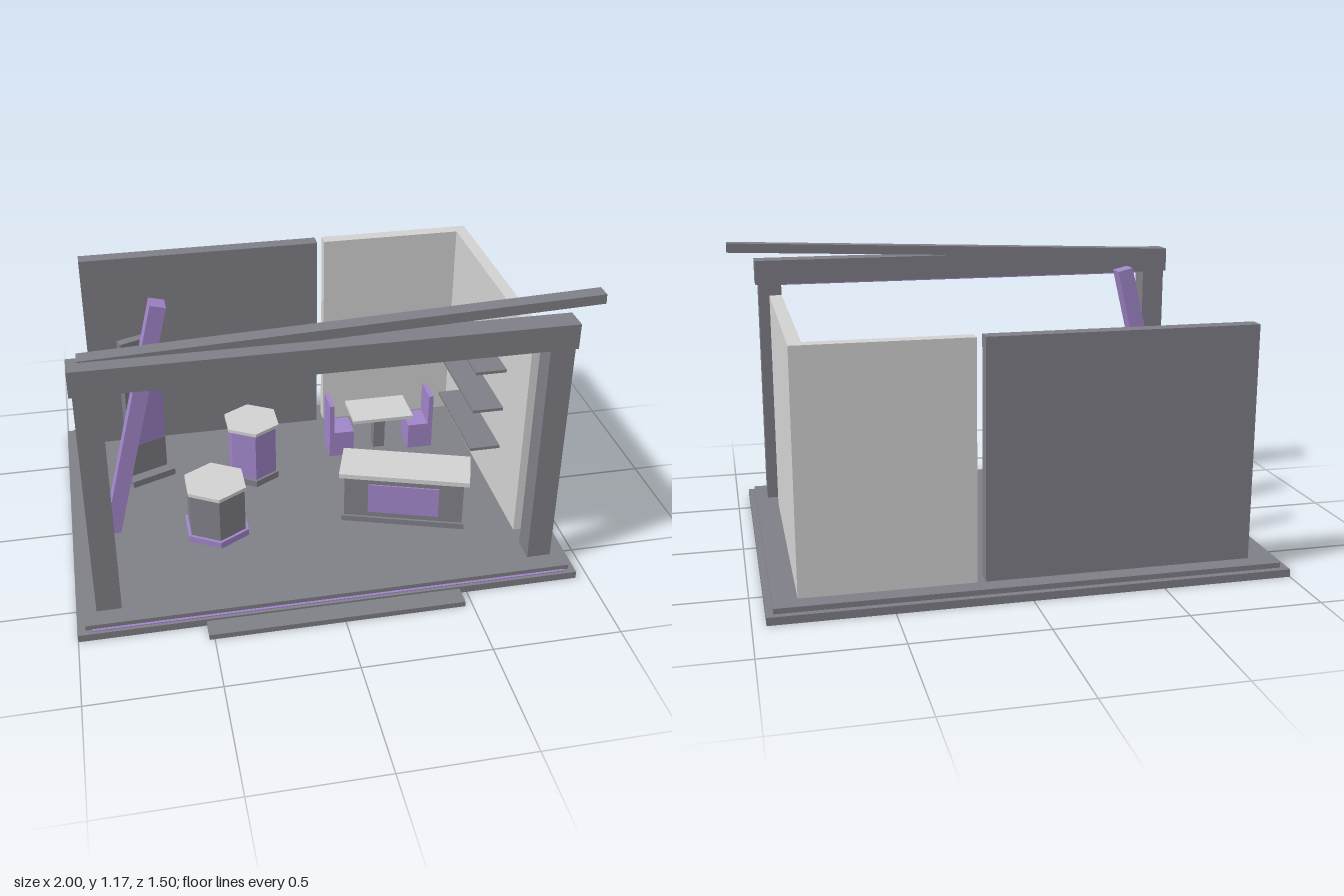
import * as THREE from 'three';

const mat = (name, color) => {
  const m = new THREE.MeshStandardMaterial({ color });
  m.name = name;
  return m;
};

export function createModel() {
  const dark = mat('slate grey', 0x7f7f87);
  const light = mat('pale grey', 0xd2d2d2);
  const purple = mat('soft purple', 0xa085c8);
  const root = new THREE.Group();
  root.name = 'exhibitionBooth';

  // Box given by its min and max on each axis
  const box = (name, m, [x0, x1], [y0, y1], [z0, z1], parent = root) => {
    const mesh = new THREE.Mesh(new THREE.BoxGeometry(x1 - x0, y1 - y0, z1 - z0), m);
    mesh.position.set((x0 + x1) / 2, (y0 + y1) / 2, (z0 + z1) / 2);
    mesh.name = name;
    parent.add(mesh);
    return mesh;
  };
  // Box centred on its group's vertical axis
  const block = (name, m, w, y, d, parent) =>
    box(name, m, [-w / 2, w / 2], y, [-d / 2, d / 2], parent);
  const group = (name, x, z, turn = 0) => {
    const g = new THREE.Group();
    g.name = name;
    g.position.set(x, 0, z);
    g.rotation.y = turn;
    root.add(g);
    return g;
  };

  // Stepped platform
  box('platformBase', dark, [-1, 0.95], [0, 0.03], [-0.755, 0.67]);
  box('platformFloor', dark, [-0.97, 0.925], [0.03, 0.05], [-0.73, 0.645]);
  box('frontStep', dark, [-0.52, 0.47], [0, 0.022], [0.67, 0.75]);
  box('floorLightStrip', purple, [-0.945, 0.905], [0.03, 0.034], [0.647, 0.657]);

  // Walls
  box('darkBackWall', dark, [-0.87, 0.155], [0.05, 0.957], [-0.66, -0.6]);
  box('paleBackWall', light, [0.187, 0.835], [0.05, 0.957], [-0.66, -0.605]);
  box('paleSideWall', light, [0.785, 0.835], [0.05, 0.957], [-0.605, 0.387]);
  for (const y of [0.305, 0.49, 0.67])
    box('wallShelf', dark, [0.657, 0.785], [y - 0.006, y + 0.007], [-0.32, 0.148]);

  // Entrance portal
  for (const x of [-0.925, 0.78])
    box('portalPost', dark, [x, x + 0.095], [0.05, 0.99], [0.473, 0.568]);
  box('portalBeam', dark, [-0.937, 0.887], [0.99, 1.09], [0.473, 0.568]);
  box('beamLightStrip', purple, [-0.83, 0.78], [0.98, 0.99], [0.51, 0.53]);
  const tilted = block('tiltedTopBeam', dark, 1.9, [-0.019, 0.019], 0.06, root);
  tilted.position.set(0.05, 1.113, 0.477);
  tilted.rotation.z = 0.0395;

  // Leaning accent column
  const lean = block('leaningColumn', purple, 0.062, [-0.522, 0.522], 0.072, root);
  lean.position.set(-0.712, 0.56, 0.062);
  lean.rotation.z = -0.237;

  // Display kiosk
  const kiosk = group('displayKiosk', -0.66, -0.307, 0.38);
  block('kioskFoot', dark, 0.2, [0.05, 0.08], 0.135, kiosk);
  block('kioskBody', dark, 0.17, [0.08, 0.73], 0.04, kiosk);
  box('kioskScreen', purple, [-0.058, 0.082], [0.23, 0.635], [0.02, 0.026], kiosk);

  // Hexagonal pedestals: each layer is [name, material, radius, bottom, top]
  const pedestal = (x, z, layers) => {
    const g = group('hexPedestal', x, z);
    for (const [name, m, r, y0, y1] of layers) {
      const geo = new THREE.CylinderGeometry(r, r, y1 - y0, 6).toNonIndexed();
      geo.computeVertexNormals();
      const mesh = new THREE.Mesh(geo, m);
      mesh.position.y = (y0 + y1) / 2;
      mesh.name = name;
      g.add(mesh);
    }
  };
  pedestal(-0.205, -0.235, [
    ['pedestalFoot', dark, 0.122, 0.05, 0.08],
    ['pedestalBody', purple, 0.11, 0.08, 0.308],
    ['pedestalTop', light, 0.125, 0.308, 0.323],
  ]);
  pedestal(-0.412, 0.14, [
    ['pedestalFoot', purple, 0.142, 0.05, 0.078],
    ['pedestalBody', dark, 0.128, 0.078, 0.27],
    ['pedestalTop', light, 0.135, 0.27, 0.285],
  ]);

  // Reception counter
  const counter = group('receptionCounter', 0.37, 0.185, -0.318);
  block('counterPlinth', dark, 0.506, [0.05, 0.075], 0.17, counter);
  block('counterBody', dark, 0.487, [0.075, 0.27], 0.15, counter);
  block('counterTop', light, 0.53, [0.27, 0.29], 0.195, counter);
  box('counterPanel', purple, [-0.145, 0.145], [0.1, 0.235], [0.075, 0.081], counter);

  // Meeting table between two facing seats
  const meeting = group('meetingArea', 0.389, -0.349);
  block('tableLeg', dark, 0.05, [0.05, 0.225], 0.05, meeting);
  block('tableTop', light, 0.27, [0.225, 0.24], 0.18, meeting);
  for (const s of [-1, 1]) {
    const seat = block('seat', purple, 0.11, [0.05, 0.17], 0.122, meeting);
    seat.position.x = s * 0.181;
    const back = block('seatBack', purple, 0.02, [0.05, 0.31], 0.122, meeting);
    back.position.x = s * 0.226;
  }
  return root;
}
